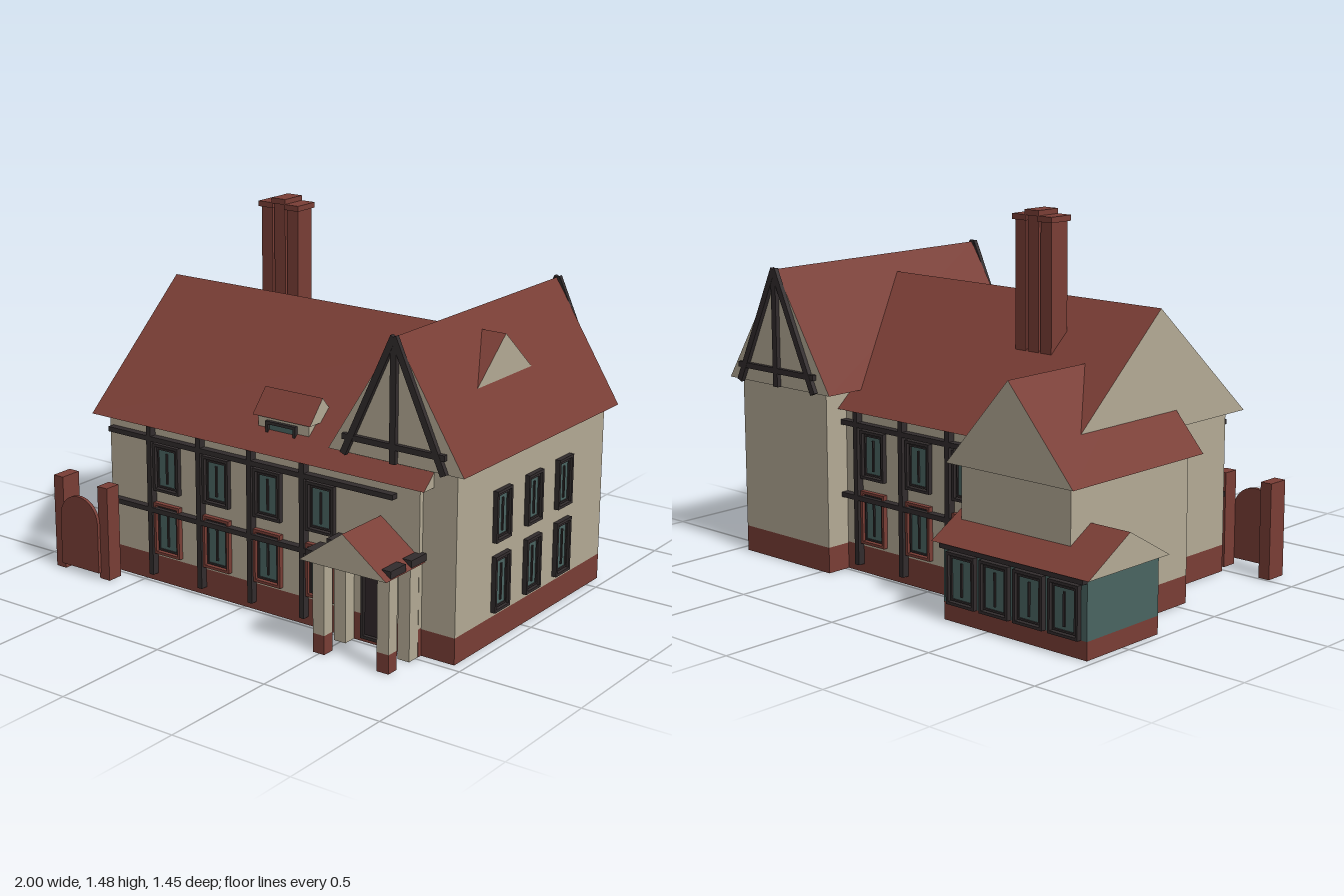
import * as THREE from 'three';

const mat = (name, color) => Object.assign(new THREE.MeshStandardMaterial({ color }), { name });

export function createModel() {
  const house = new THREE.Group();
  house.name = 'house';
  const brick = mat('brickRed', 0x7a3e36);
  const cream = mat('creamPlaster', 0xb5ab96);
  const timber = mat('darkTimber', 0x322c2d);
  const glass = mat('tealGlass', 0x4a6562);
  const doorMat = mat('doorBrown', 0x30272a);

  const add = (name, geo, material, parent = house) => {
    const m = new THREE.Mesh(geo, material);
    m.name = name;
    parent.add(m);
    return m;
  };
  // Box given by its lower and upper limits on each axis
  const box = (name, material, x0, x1, y0, y1, z0, z1, parent) => {
    const g = new THREE.BoxGeometry(x1 - x0, y1 - y0, z1 - z0);
    g.translate((x0 + x1) / 2, (y0 + y1) / 2, (z0 + z1) / 2);
    return add(name, g, material, parent);
  };
  // Walls standing on a brick plinth
  const walls = (name, x0, x1, z0, z1, plinth, top, material = cream) => {
    box(name + 'Plinth', brick, x0, x1, 0, plinth, z0, z1);
    box(name + 'Walls', material, x0, x1, plinth, top, z0, z1);
  };
  // Gable roof: plaster ends, red slopes; ridge runs along z, or along x
  const gableRoof = (name, x0, x1, y0, y1, z0, z1, alongX = false) => {
    const span = alongX ? z1 - z0 : x1 - x0;
    const len = alongX ? x1 - x0 : z1 - z0;
    const s = new THREE.Shape([
      new THREE.Vector2(-span / 2, y0), new THREE.Vector2(span / 2, y0), new THREE.Vector2(0, y1),
    ]);
    const g = new THREE.ExtrudeGeometry(s, { depth: len, bevelEnabled: false });
    g.translate(0, 0, -len / 2);
    if (alongX) g.rotateY(Math.PI / 2);
    g.translate((x0 + x1) / 2, 0, (z0 + z1) / 2);
    return add(name, g, [cream, brick]);
  };
  // Rectangular frame with an opening, standing out along +z
  const frame = (w, h, t, d) => {
    const rect = (P, a, b) => new P([[-a, -b], [a, -b], [a, b], [-a, b]].map(p => new THREE.Vector2(...p)));
    const s = rect(THREE.Shape, w / 2, h / 2);
    s.holes.push(rect(THREE.Path, w / 2 - t, h / 2 - t));
    return new THREE.ExtrudeGeometry(s, { depth: d, bevelEnabled: false });
  };
  const windowAt = (x, y, z, ry, w, h, outer = timber) => {
    const g = new THREE.Group();
    g.name = 'window';
    g.position.set(x, y, z);
    g.rotation.y = ry;
    add('windowFrame', frame(w, h, 0.011, 0.02), outer, g);
    add('windowSash', frame(w - 0.032, h - 0.032, 0.007, 0.012), timber, g);
    const a = w / 2 - 0.02, b = h / 2 - 0.02;
    box('pane', glass, -a, a, -b, b, 0, 0.006, g);
    box('mullion', timber, -0.004, 0.004, -b * 0.8, b * 0.8, 0, 0.012, g);
    house.add(g);
  };

  // Main range, cross wing, rear block and garden room
  walls('main', -0.675, 0.81, -0.485, 0.485, 0.11, 0.66);
  walls('wing', 0.46, 0.955, -0.59, 0.465, 0.105, 0.73);
  walls('rearBlock', -0.82, -0.29, -0.61, 0.06, 0.11, 0.58);
  walls('gardenRoom', -0.97, -0.28, -0.695, -0.3, 0.07, 0.3, glass);
  gableRoof('mainRoof', -0.73, 0.855, 0.66, 1.128, -0.53, 0.53, true);
  gableRoof('wingRoof', 0.41, 1.0, 0.73, 1.2, -0.62, 0.495);
  gableRoof('rearBlockRoof', -0.86, -0.245, 0.58, 0.93, -0.645, 0.1);
  gableRoof('gardenRoomRoof', -1.0, -0.245, 0.3, 0.43, -0.725, -0.275, true);

  // Chimney stacks with caps, the middle cap higher
  [-0.352, -0.288, -0.224].forEach((x, i) => {
    const up = i === 1 ? 0.02 : 0;
    box('chimneyStack', brick, x - 0.027, x + 0.027, 0.85, 1.435 + up, -0.215, -0.125);
    box('chimneyCap', brick, x - 0.035, x + 0.035, 1.435 + up, 1.457 + up, -0.225, -0.115);
  });

  // Timber framing and windows, front and back
  const framing = (posts, panes, x0, x1, z, dir, ry) => {
    const lo = Math.min(z, z + dir * 0.03), hi = Math.max(z, z + dir * 0.03);
    for (const x of posts) box('timberPost', timber, x - 0.011, x + 0.011, 0.035, 0.66, lo, hi);
    for (const y of [0.31, 0.605]) box('timberRail', timber, x0, x1, y - 0.01, y + 0.01, lo, hi);
    for (const x of panes) {
      windowAt(x, 0.487, z, ry, 0.128, 0.195);
      windowAt(x, 0.232, z, ry, 0.13, 0.215, brick);
    }
  };
  framing([-0.45, -0.2, 0.05, 0.3], [-0.375, -0.125, 0.125, 0.375], -0.66, 0.71, 0.485, 1, 0);
  framing([0.38, 0.13, -0.12], [0.3, 0.05, -0.2], -0.29, 0.46, -0.485, -1, Math.PI);

  // Windows on the wing's outer side
  for (const z of [0.17, -0.053, -0.275]) {
    windowAt(0.955, 0.5, z, Math.PI / 2, 0.106, 0.2);
    windowAt(0.955, 0.235, z, Math.PI / 2, 0.106, 0.22);
  }

  // Garden room windows, beam and door
  for (let i = 0; i < 4; i++) windowAt(-0.8725 + i * 0.165, 0.17, -0.695, Math.PI, 0.14, 0.2);
  box('gardenRoomBeam', timber, -0.97, -0.28, 0.28, 0.3, -0.72, -0.69);
  windowAt(-0.835, 0.165, -0.3, 0, 0.14, 0.19);

  // Timbered gables on both ends of the wing
  for (const [z, sign] of [[0.503, 1], [-0.628, -1]]) {
    const g = new THREE.Group();
    g.name = 'gableTimbers';
    g.position.set(0.705, 0, z);
    box('kingPost', timber, -0.013, 0.013, 0.73, 1.2, -0.01, 0.01, g);
    box('collarBeam', timber, -0.222, 0.222, 0.784, 0.806, -0.01, 0.01, g);
    for (const s of [-1, 1]) {
      const rafter = add('gableRafter', new THREE.BoxGeometry(0.026, 0.52, 0.018), timber, g);
      rafter.position.set(s * 0.109, 0.965, sign * 0.002);
      rafter.rotation.z = s * Math.atan2(0.215, 0.465);
    }
    house.add(g);
  }

  // Roof dormer
  box('dormerWalls', cream, 0.045, 0.285, 0.7, 0.785, 0.3, 0.445);
  const dormer = gableRoof('dormerRoof', 0.03, 0.3, 0.78, 0.872, 0.3, 0.46, true);
  dormer.material = [cream, brick];
  add('dormerFrame', frame(0.14, 0.075, 0.012, 0.015), timber).position.set(0.16, 0.728, 0.445);
  box('dormerPane', glass, 0.1, 0.22, 0.7, 0.755, 0.445, 0.45);

  // Porch with front columns, wall pilasters and dark capitals
  gableRoof('porchRoof', 0.448, 0.832, 0.375, 0.515, 0.48, 0.725);
  for (const x of [0.497, 0.783]) {
    box('columnFoot', brick, x - 0.026, x + 0.026, 0, 0.075, 0.62, 0.672);
    box('column', cream, x - 0.026, x + 0.026, 0.075, 0.375, 0.62, 0.672);
    box('pilaster', cream, x - 0.026, x + 0.026, 0, 0.375, 0.485, 0.54);
    for (const z of [0.646, 0.515]) {
      box('capital', timber, x - 0.046, x + 0.046, 0.378, 0.406, z - 0.047, z + 0.047);
    }
  }
  add('doorFrame', frame(0.145, 0.345, 0.012, 0.02), timber).position.set(0.638, 0.193, 0.485);
  box('door', doorMat, 0.578, 0.698, 0.035, 0.35, 0.485, 0.494);

  // Garden gate with arched panel between posts
  box('gatePost', brick, -0.885, -0.835, 0, 0.39, 0.51, 0.603);
  box('gatePost', brick, -0.648, -0.597, 0, 0.39, 0.535, 0.603);
  const arch = new THREE.Shape();
  arch.moveTo(-0.1, 0.025);
  arch.lineTo(0.1, 0.025);
  arch.lineTo(0.1, 0.23);
  arch.absarc(0, 0.23, 0.1, 0, Math.PI, false);
  const panel = new THREE.ExtrudeGeometry(arch, { depth: 0.015, bevelEnabled: false, curveSegments: 16 });
  add('gatePanel', panel, brick).position.set(-0.741, 0, 0.602);

  return house;
}
